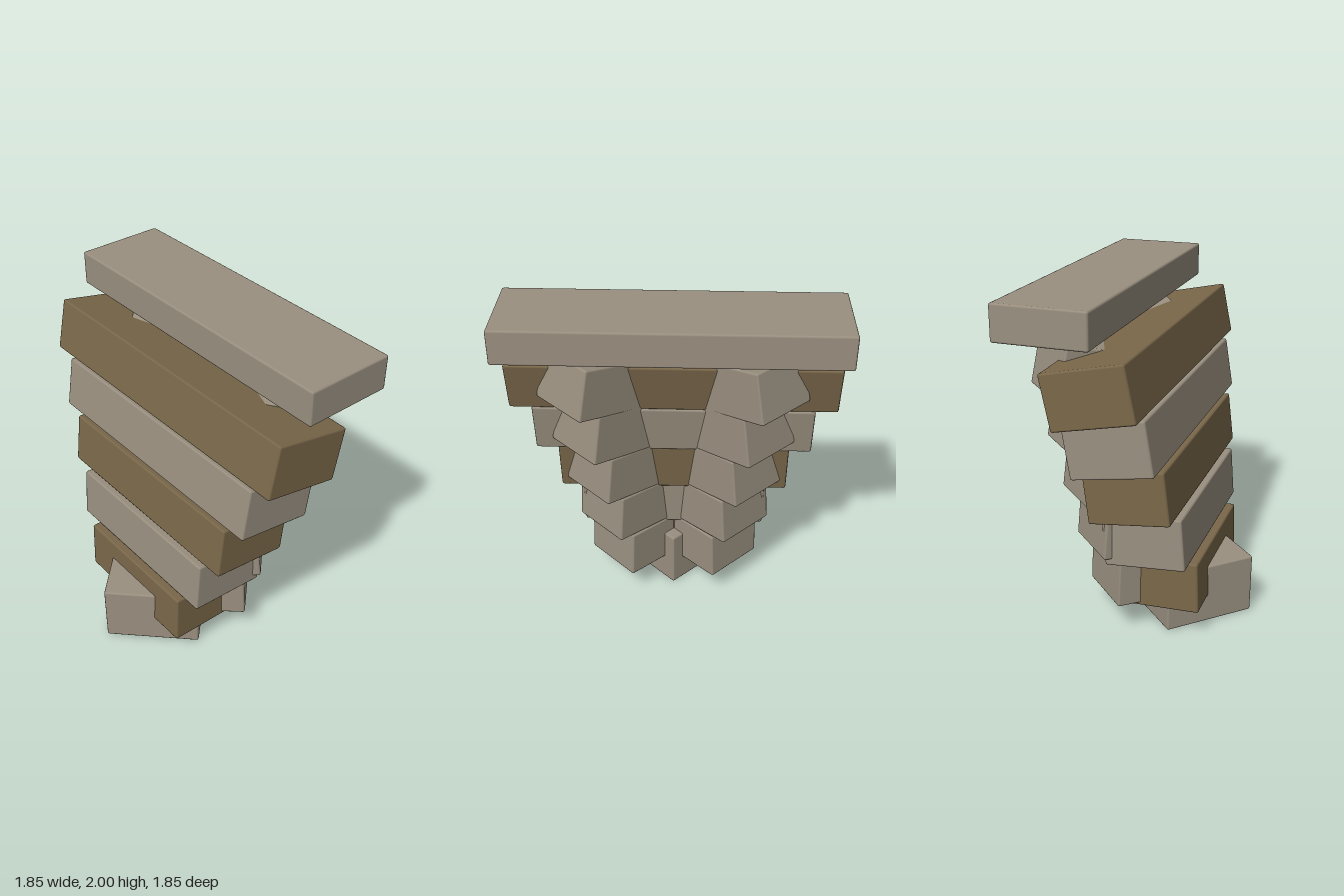
import * as THREE from 'three';
import { RoundedBoxGeometry } from 'three/addons/geometries/RoundedBoxGeometry.js';

const stone = new THREE.MeshStandardMaterial({ color: 0x9a9080 });
stone.name = 'stone grey';
const brown = new THREE.MeshStandardMaterial({ color: 0x7a684a });
brown.name = 'earth brown';

const BEVEL = 0.012;

function block(name, w, h, d, material) {
  const mesh = new THREE.Mesh(new RoundedBoxGeometry(w, h, d, 1, BEVEL), material);
  mesh.name = name;
  return mesh;
}

export function createModel() {
  const model = new THREE.Group();
  model.name = 'steppedCorbel';

  // Square footing
  const base = block('base', 0.56, 0.36, 0.56, stone);
  base.position.set(-0.28, 0.18, 0.28);
  model.add(base);

  // Long slabs run diagonally, so they sit in a group turned by 45 degrees
  const diagonal = new THREE.Group();
  diagonal.name = 'diagonalSlabs';
  diagonal.rotation.y = -Math.PI / 4;
  model.add(diagonal);

  const cap = block('capSlab', 1.89, 0.2, 0.52, stone);
  cap.position.set(0, 1.9, -0.11);
  diagonal.add(cap);

  for (let i = 0; i < 5; i++) {
    const tilt = THREE.MathUtils.degToRad(2.4 * (i + 1));

    // Each course is longer and leans further than the one below
    const slab = block('courseSlab' + (i + 1), 0.85 + 0.2525 * i, 0.308, 0.464, i % 2 ? stone : brown);
    slab.position.set(0, 0.314 + 0.3115 * i, 0.345 - 0.0545 * i);
    slab.rotation.x = -tilt;
    diagonal.add(slab);

    // Mirrored pair of rear blocks, placed from their outer lower edge
    const depth = 0.46, height = 0.302, width = 0.39;
    const c = Math.cos(tilt), s = Math.sin(tilt);
    const out = 0.272 + 0.085 * i - c * depth / 2 - s * height / 2;
    const y = 0.178 + 0.32 * i - s * depth / 2 + c * height / 2;

    const left = block('leftRearBlock' + (i + 1), depth, height, width, stone);
    left.position.set(out, y, 0.275);
    left.rotation.z = tilt;
    const right = block('rightRearBlock' + (i + 1), width, height, depth, stone);
    right.position.set(-0.275, y, -out);
    right.rotation.x = tilt;
    model.add(left, right);
  }
  return model;
}
